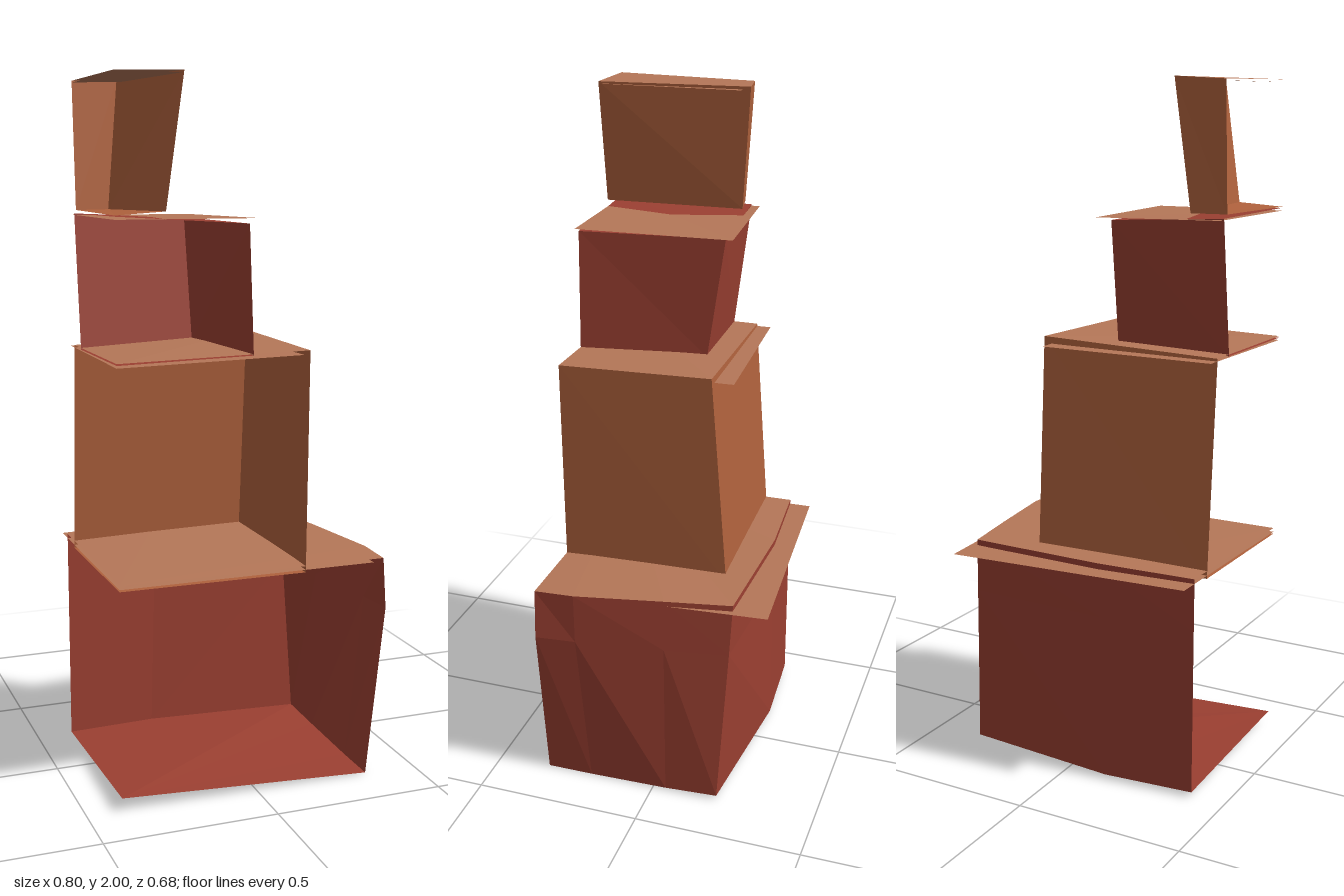
import * as THREE from 'three';

const LEFT = -0.4, FRONT = 0.34; // the two open cut sides

const paint = (name, color) => {
  const m = new THREE.MeshStandardMaterial({ color, side: THREE.DoubleSide, flatShading: true });
  m.name = name;
  return m;
};

// Flat-faced mesh from a list of triangles
function facets(name, tris, material) {
  const g = new THREE.BufferGeometry();
  g.setAttribute('position', new THREE.Float32BufferAttribute(tris.flat(2), 3));
  g.computeVertexNormals();
  const mesh = new THREE.Mesh(g, material);
  mesh.name = name;
  return mesh;
}

// Horizontal sheet fanned from the front left corner; the path runs back left to front right
function sheet(name, path, y, material, up = true) {
  const apex = [LEFT, y, FRONT];
  const tris = path.slice(1).map((p, i) => (up ? [apex, p, path[i]] : [apex, path[i], p]));
  return facets(name, tris, material);
}

// Back and side walls through rings of points, closed by a floor and a top
function block(name, rings, floorY, topY, wall, top) {
  const group = new THREE.Group();
  group.name = name;
  const tris = [];
  for (let r = 0; r < rings.length - 1; r++) {
    const lo = rings[r], hi = rings[r + 1];
    for (let i = 0; i < lo.length - 1; i++) {
      tris.push([lo[i], hi[i], hi[i + 1]], [lo[i], hi[i + 1], lo[i + 1]]);
    }
  }
  group.add(
    facets(name + 'Walls', tris, wall),
    sheet(name + 'Floor', rings[0], floorY, wall, false),
    sheet(name + 'Top', rings[rings.length - 1], topY, top),
  );
  return group;
}

export function createModel() {
  const red = paint('brick red', 0x9c4032);
  const orange = paint('clay orange', 0xb0623d);
  const tan = paint('ledge tan', 0xb57758);
  const model = new THREE.Group();
  model.name = 'steppedStack';

  // Large base block with a bulging side
  model.add(block('baseBlock', [
    [[LEFT, 0.015, -0.22], [-0.13, 0.012, -0.24], [0.34, 0.012, -0.2], [0.343, 0.005, -0.04], [0.344, 0, 0.2], [0.345, 0, FRONT]],
    [[LEFT, 0.5, -0.22], [-0.115, 0.5, -0.244], [0.317, 0.5, -0.227], [0.35, 0.5, -0.04], [0.388, 0.5, 0.22], [0.4, 0.5, FRONT]],
    [[LEFT, 0.655, -0.22], [-0.11, 0.66, -0.245], [0.31, 0.662, -0.235], [0.345, 0.66, -0.04], [0.39, 0.655, 0.22], [0.39, 0.65, FRONT]],
  ], 0.04, 0.65, red, tan));
  model.add(sheet('baseLedge', [[LEFT, 0.642, -0.285], [0.322, 0.645, -0.34], [0.345, 0.645, -0.04], [0.36, 0.64, FRONT]], 0.638, tan));

  // Second block
  model.add(block('secondBlock', [
    [[LEFT, 0.632, -0.14], [0.138, 0.632, -0.163], [0.146, 0.632, FRONT]],
    [[LEFT, 1.25, -0.095], [0.142, 1.272, -0.115], [0.152, 1.262, FRONT]],
  ], 0.632, 1.25, orange, tan));
  model.add(sheet('secondLedge', [[LEFT, 1.243, -0.138], [0.115, 1.252, -0.172], [0.135, 1.25, FRONT]], 1.238, tan));

  // Third block
  model.add(block('thirdBlock', [
    [[LEFT, 1.245, -0.02], [-0.06, 1.255, -0.038], [-0.015, 1.255, FRONT]],
    [[LEFT, 1.627, -0.07], [-0.065, 1.612, -0.09], [-0.028, 1.608, FRONT]],
  ], 1.245, 1.63, red, red));
  model.add(sheet('thirdLedge', [[LEFT, 1.623, -0.095], [-0.032, 1.62, -0.12], [0.002, 1.622, FRONT]], 1.622, tan));

  // Small top block and its lid
  model.add(block('topBlock', [
    [[LEFT, 1.637, -0.05], [-0.3, 1.638, -0.07], [-0.262, 1.642, FRONT]],
    [[LEFT, 1.992, -0.073], [-0.262, 2, -0.1], [-0.21, 2, FRONT]],
  ], 1.633, 1.995, orange, tan));
  model.add(sheet('topLid', [[LEFT, 1.987, -0.06], [-0.24, 1.992, -0.078], [-0.206, 1.994, FRONT]], 1.987, tan));

  return model;
}
